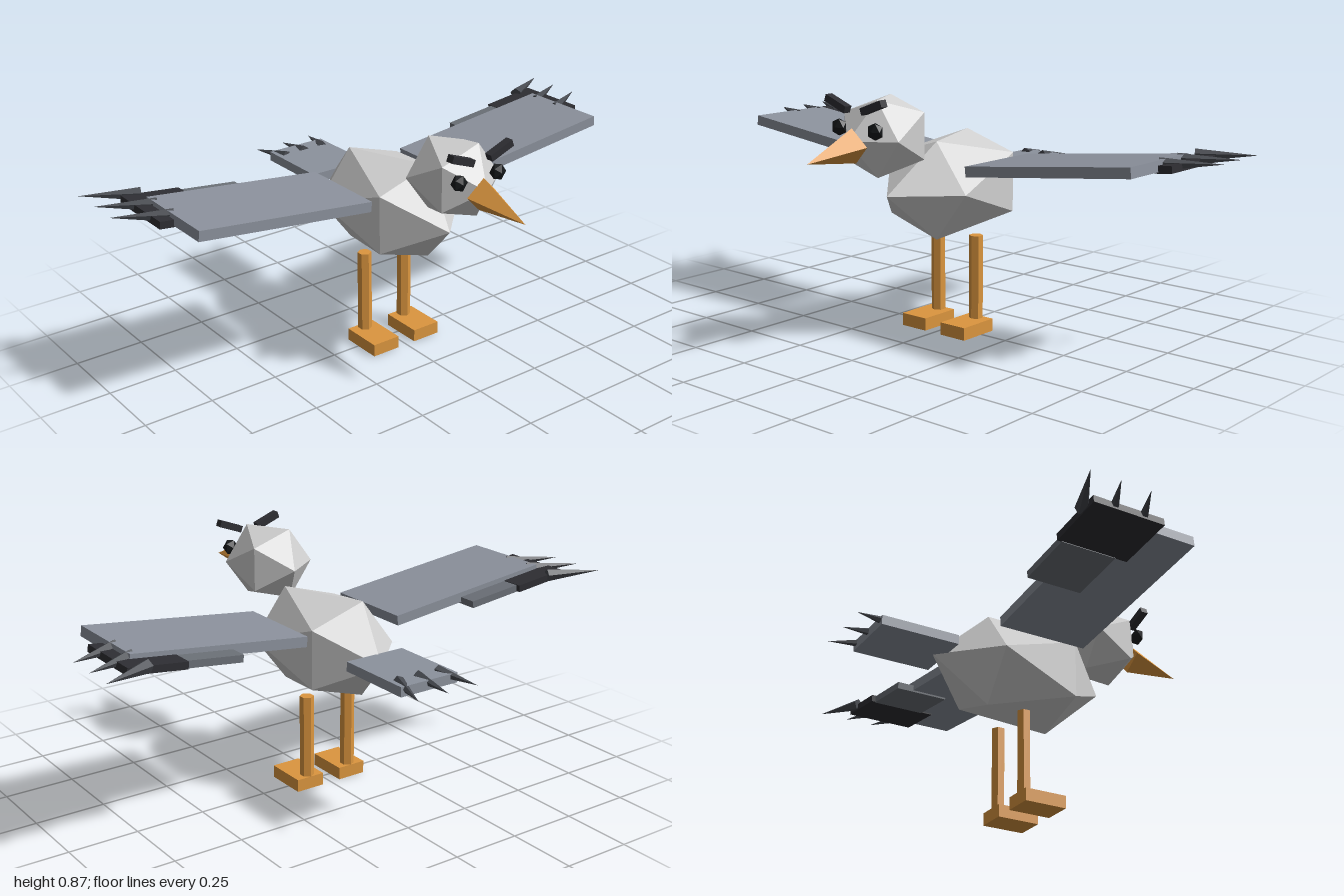
import * as THREE from 'three';

const material = (name, color) => {
  const m = new THREE.MeshStandardMaterial({ color });
  m.name = name;
  return m;
};

export function createModel() {
  const bird = new THREE.Group();
  bird.name = 'bird';

  const plumage = material('pale plumage', 0xd0d0d0);
  const wingGrey = material('wing grey', 0x8c929d);
  const midGrey = material('middle grey', 0x6b7077);
  const charcoal = material('charcoal', 0x46494f);
  const black = material('soft black', 0x2e2e33);
  const eyeBlack = material('eye black', 0x15181a);
  const orange = material('orange', 0xdc963f);

  const add = (name, geometry, mat, x, y, z, parent = bird) => {
    const mesh = new THREE.Mesh(geometry, mat);
    mesh.name = name;
    mesh.position.set(x, y, z);
    parent.add(mesh);
    return mesh;
  };

  // Copy with one normal per face
  const faceted = (geometry) => {
    const g = geometry.toNonIndexed();
    g.computeVertexNormals();
    return g;
  };

  // Twenty-sided ball with its poles along z, stretched on each axis
  const ball = (rx, ry, rz) => {
    const g = new THREE.IcosahedronGeometry(1, 0);
    g.rotateX(Math.atan(2 / (1 + Math.sqrt(5))));
    g.rotateZ(Math.PI / 2);
    g.scale(rx, ry, rz);
    g.computeVertexNormals();
    return g;
  };

  const box = (w, h, d) => new THREE.BoxGeometry(w, h, d);

  // Pointed cone from a base centre to a tip
  const spike = (name, from, to, radius, sides, mat) => {
    const a = new THREE.Vector3(...from);
    const b = new THREE.Vector3(...to);
    const g = faceted(new THREE.ConeGeometry(radius, a.distanceTo(b), sides));
    const mid = a.clone().add(b).multiplyScalar(0.5);
    const mesh = add(name, g, mat, mid.x, mid.y, mid.z);
    mesh.quaternion.setFromUnitVectors(new THREE.Vector3(0, 1, 0), b.sub(a).normalize());
    return mesh;
  };

  // Body, head and beak
  add('body', ball(0.21, 0.2, 0.335), plumage, 0, 0.525, -0.01);
  add('head', ball(0.15, 0.149, 0.17), plumage, 0, 0.733, 0.333);
  spike('beak', [0, 0.716, 0.475], [0, 0.683, 0.683], 0.059, 4, orange);

  // Tail with three feather tips
  add('tail', box(0.23, 0.034, 0.285), wingGrey, 0, 0.541, -0.447);
  for (const s of [-1, 0, 1]) {
    spike('tailFeather', [s * 0.08, 0.553, -0.53], [s * 0.12, 0.541, -0.682], 0.02, 5, charcoal);
  }

  for (const s of [-1, 1]) {
    const side = s > 0 ? 'left' : 'right';

    // Eye and slanted brow
    add(side + 'Eye', ball(0.031, 0.031, 0.021), eyeBlack, s * 0.081, 0.768, 0.46);
    const brow = add(side + 'Brow', box(0.095, 0.024, 0.028), black, s * 0.08, 0.846, 0.466);
    brow.rotation.z = s * 0.36;

    // Wing with darker trailing panels
    const wing = new THREE.Group();
    wing.name = side + 'Wing';
    wing.position.set(s * 0.515, 0.645, -0.02);
    wing.rotation.z = s * 0.115;
    bird.add(wing);
    add('wingPanel', box(0.655, 0.036, 0.332), wingGrey, 0, 0, 0, wing);
    add('innerTrailingPanel', box(0.21, 0.025, 0.2), midGrey, s * 0.065, -0.012, -0.13, wing);
    add('outerTrailingPanel', box(0.21, 0.025, 0.26), black, s * 0.272, -0.01, -0.115, wing);

    // Wing tip feathers
    for (let i = 0; i < 3; i++) {
      const z = -0.045 - i * 0.108;
      spike(side + 'WingFeather', [s * 0.82, 0.681, z], [s, 0.69, z - 0.085], 0.023, 5, charcoal);
    }

    // Leg and foot
    const leg = faceted(new THREE.CylinderGeometry(0.025, 0.025, 0.3, 6));
    add(side + 'Leg', leg, orange, s * 0.088, 0.195, -0.035);
    add(side + 'Foot', box(0.108, 0.045, 0.155), orange, s * 0.09, 0.0225, 0.0175);
  }

  return bird;
}
